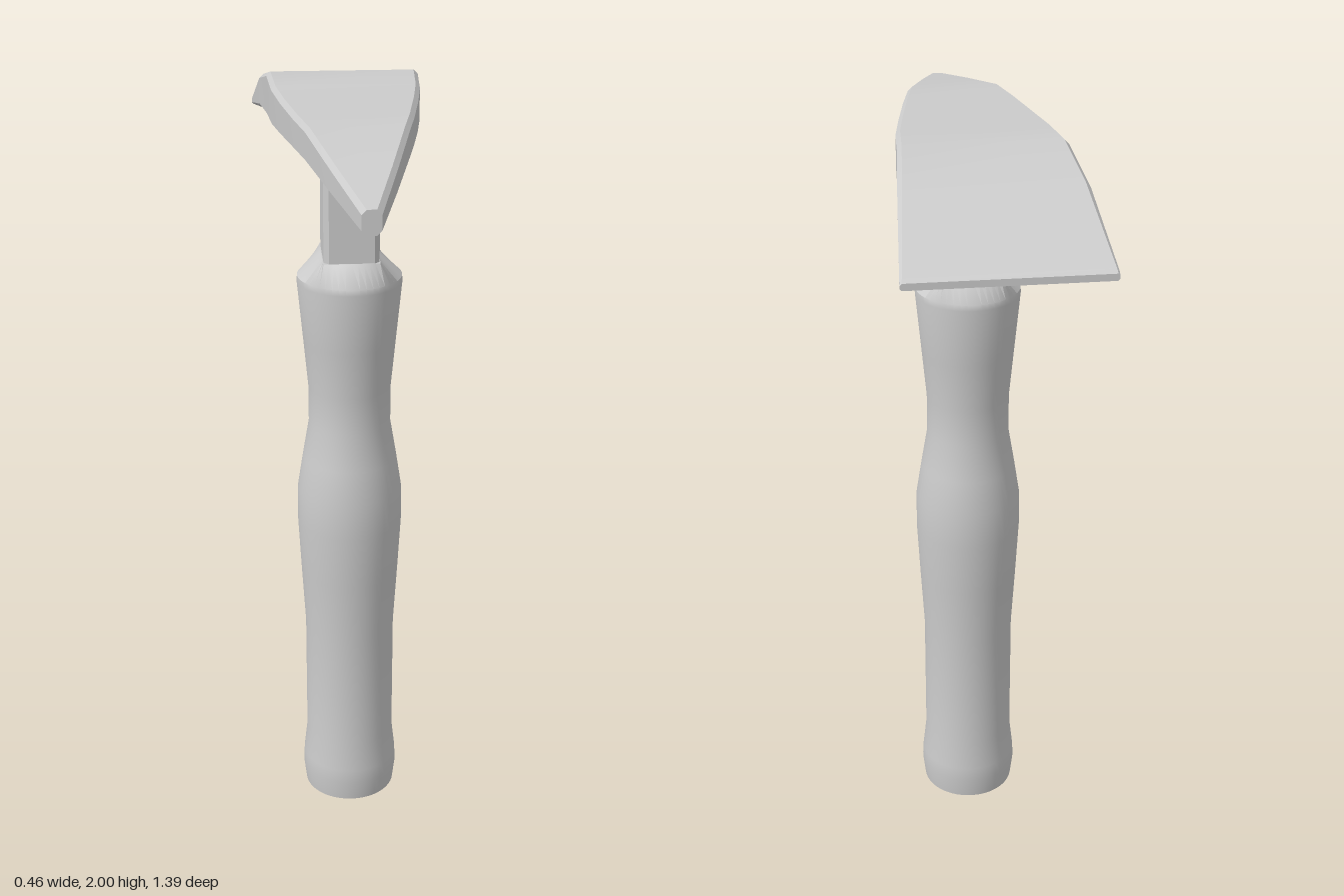
import * as THREE from 'three';
import { toCreasedNormals } from 'three/addons/utils/BufferGeometryUtils.js';

const CENTRE_Z = 0.01; // handle axis

function addPart(group, name, geometry, crease) {
  const material = new THREE.MeshStandardMaterial({ color: 0xcccccc });
  const mesh = new THREE.Mesh(toCreasedNormals(geometry, crease), material);
  mesh.name = name;
  group.add(mesh);
  return mesh;
}

// Rectangle with cut corners, counter-clockwise
function chamferedRect(w, h, c) {
  return [[w - c, -h], [w, -h + c], [w, h - c], [w - c, h],
    [-w + c, h], [-w, h - c], [-w, -h + c], [-w + c, -h]];
}

// Lofted blade: stations run from the narrow front tip to the wide back edge
function headGeometry() {
  const stations = [ // z, half width, top, bottom
    [0.695, 0.022, 1.912, 1.856],
    [0.49, 0.072, 1.949, 1.878],
    [0.28, 0.12, 1.985, 1.899],
    [0.16, 0.143, 1.987, 1.899],
    [0.0, 0.169, 1.989, 1.893],
    [-0.13, 0.187, 1.993, 1.887],
    [-0.27, 0.196, 2.0, 1.881],
    [-0.45, 0.212, 1.957, 1.866],
    [-0.685, 0.231, 1.846, 1.824],
    [-0.695, 0.231, 1.838, 1.822],
  ];
  const positions = [];
  const index = [];
  const n = 8;
  stations.forEach(([z, w, top, bottom]) => {
    const h = (top - bottom) / 2;
    for (const [x, y] of chamferedRect(w, h, Math.min(0.011, h * 0.5))) {
      positions.push(x, (top + bottom) / 2 + y, z);
    }
  });
  for (let s = 0; s < stations.length - 1; s++) {
    for (let i = 0; i < n; i++) {
      const a = s * n + i;
      const b = s * n + (i + 1) % n;
      index.push(a, a + n, b, b, a + n, b + n);
    }
  }
  // End caps
  const last = (stations.length - 1) * n;
  for (let i = 1; i < n - 1; i++) {
    index.push(0, i, i + 1);
    index.push(last, last + i + 1, last + i);
  }
  const geometry = new THREE.BufferGeometry();
  geometry.setAttribute('position', new THREE.Float32BufferAttribute(positions, 3));
  geometry.setIndex(index);
  return geometry;
}

// Turned grip whose top ring is squared off to meet the shank
function handleGeometry() {
  const profile = [
    [0, 0], [0.126, 0], [0.133, 0.06], [0.131, 0.1], [0.122, 0.18], [0.122, 0.53],
    [0.132, 0.7], [0.14, 0.85], [0.139, 0.95], [0.125, 1.04], [0.108, 1.14],
    [0.108, 1.24], [0.12, 1.37], [0.135, 1.53], [0.134, 1.545], [0.116, 1.6], [0, 1.6],
  ].map(([r, y]) => new THREE.Vector2(r, y));
  const geometry = new THREE.LatheGeometry(profile, 48);
  const p = geometry.attributes.position;
  for (let i = 0; i < p.count; i++) {
    if (p.getY(i) < 1.59) continue;
    p.setX(i, THREE.MathUtils.clamp(p.getX(i), -0.072, 0.072));
    p.setZ(i, THREE.MathUtils.clamp(p.getZ(i), -0.092, 0.092));
  }
  return geometry;
}

export function createModel() {
  const group = new THREE.Group();
  group.name = 'pickHammer';

  addPart(group, 'head', headGeometry(), 0.45);

  const handle = addPart(group, 'handle', handleGeometry(), 0.6);
  handle.position.z = CENTRE_Z;

  // Shank with cut corners, running from the grip up into the head
  const outline = new THREE.Shape(
    chamferedRect(0.07, 0.09, 0.013).map(([x, y]) => new THREE.Vector2(x, y)));
  const shankGeometry = new THREE.ExtrudeGeometry(outline, { depth: 0.4, bevelEnabled: false });
  shankGeometry.rotateX(-Math.PI / 2);
  const shank = addPart(group, 'shank', shankGeometry, 0.4);
  shank.position.set(0, 1.585, CENTRE_Z);

  return group;
}
